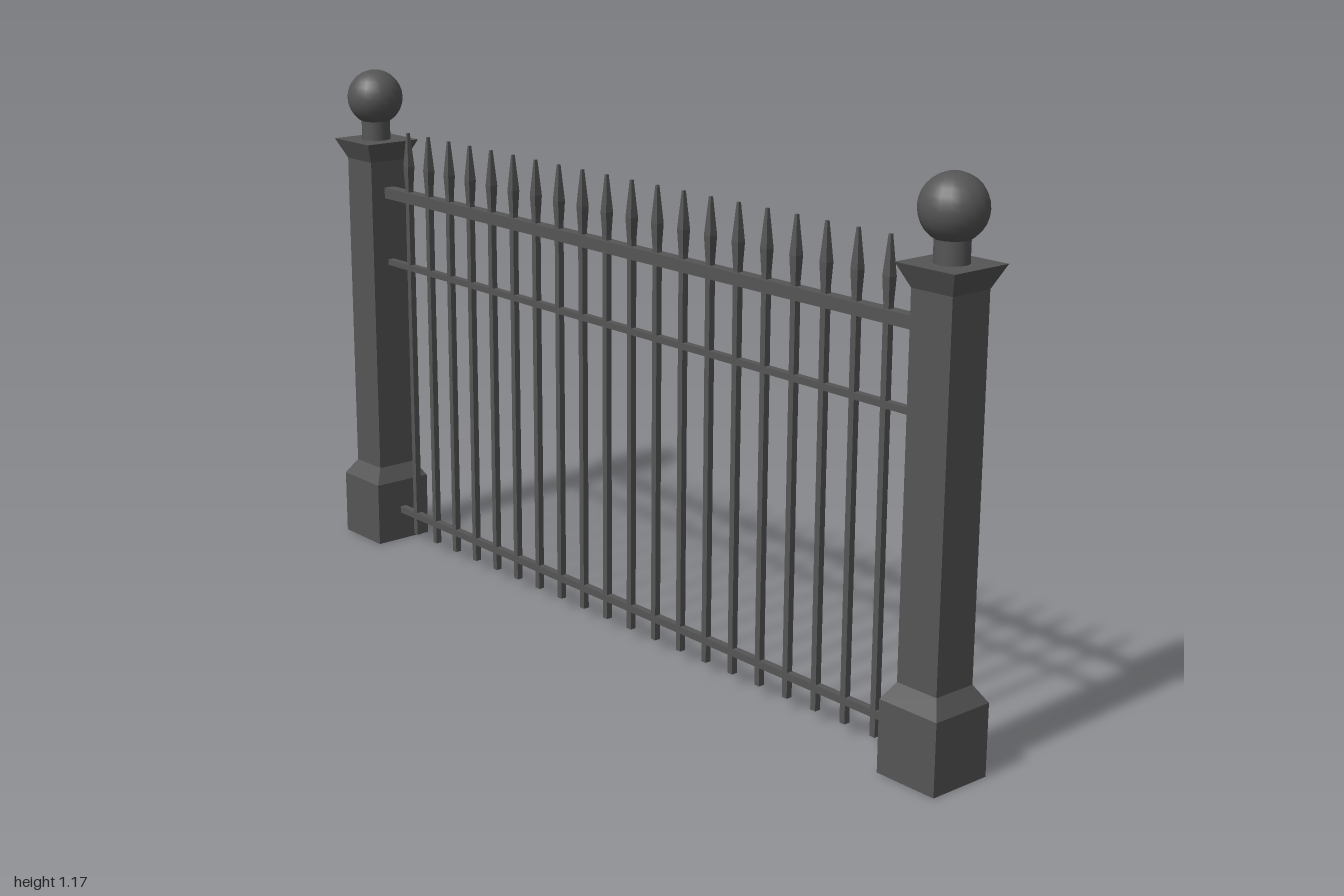
import * as THREE from 'three';

const iron = new THREE.MeshStandardMaterial({ color: 0x555555 });
iron.name = 'dark grey iron';

function add(parent, geometry, name, x, y, z) {
  const mesh = new THREE.Mesh(geometry, iron);
  mesh.name = name;
  mesh.position.set(x, y, z);
  parent.add(mesh);
  return mesh;
}

// Square block from y0 to y1 whose half width goes from h0 to h1
function taper(h0, h1, y0, y1, capped = true) {
  const g = new THREE.CylinderGeometry(h1 * Math.SQRT2, h0 * Math.SQRT2, y1 - y0, 4, 1, !capped)
    .rotateY(Math.PI / 4)
    .translate(0, (y0 + y1) / 2, 0)
    .toNonIndexed();
  g.computeVertexNormals();
  return g;
}

// Square post with plinth, flared cap and ball finial
function createPost(x, name) {
  const post = new THREE.Group();
  post.name = name;
  post.position.x = x;
  add(post, taper(0.073, 0.073, 0, 0.152), 'plinth', 0, 0, 0);
  add(post, taper(0.073, 0.05, 0.152, 0.188), 'plinthBevel', 0, 0, 0);
  add(post, taper(0.05, 0.05, 0.188, 0.953, false), 'shaft', 0, 0, 0);
  add(post, taper(0.05, 0.072, 0.953, 1.0), 'flaredCap', 0, 0, 0);
  add(post, new THREE.CylinderGeometry(0.034, 0.034, 0.06, 20), 'neck', 0, 1.03, 0);
  add(post, new THREE.SphereGeometry(0.066, 20, 14), 'ballFinial', 0, 1.101, 0);
  return post;
}

// Thin square bar with a blunt spear head
function createPicket(x) {
  const picket = new THREE.Group();
  picket.name = 'picket';
  picket.position.x = x;
  add(picket, taper(0.007, 0.007, 0.028, 0.9), 'bar', 0, 0, 0);
  add(picket, taper(0.007, 0.0095, 0.9, 0.95), 'spearNeck', 0, 0, 0);
  add(picket, taper(0.0095, 0.003, 0.95, 1.03), 'spearTip', 0, 0, 0);
  return picket;
}

export function createModel() {
  const model = new THREE.Group();
  model.name = 'fencePanel';

  // The whole panel is turned very slightly about the vertical
  const panel = new THREE.Group();
  panel.name = 'panel';
  panel.rotation.y = -0.0245;
  model.add(panel);

  panel.add(createPost(0.925, 'leftPost'), createPost(-0.925, 'rightPost'));

  // Rails: name, height, thickness, depth
  for (const [name, y, t, d] of [
    ['topRail', 0.876, 0.026, 0.027],
    ['middleRail', 0.705, 0.014, 0.016],
    ['bottomRail', 0.077, 0.016, 0.016],
  ]) add(panel, new THREE.BoxGeometry(1.77, t, d), name, 0, y, 0);

  // Pickets
  const count = 20;
  for (let i = 0; i < count; i++) panel.add(createPicket(-0.789 + i * 0.0823));

  return model;
}
